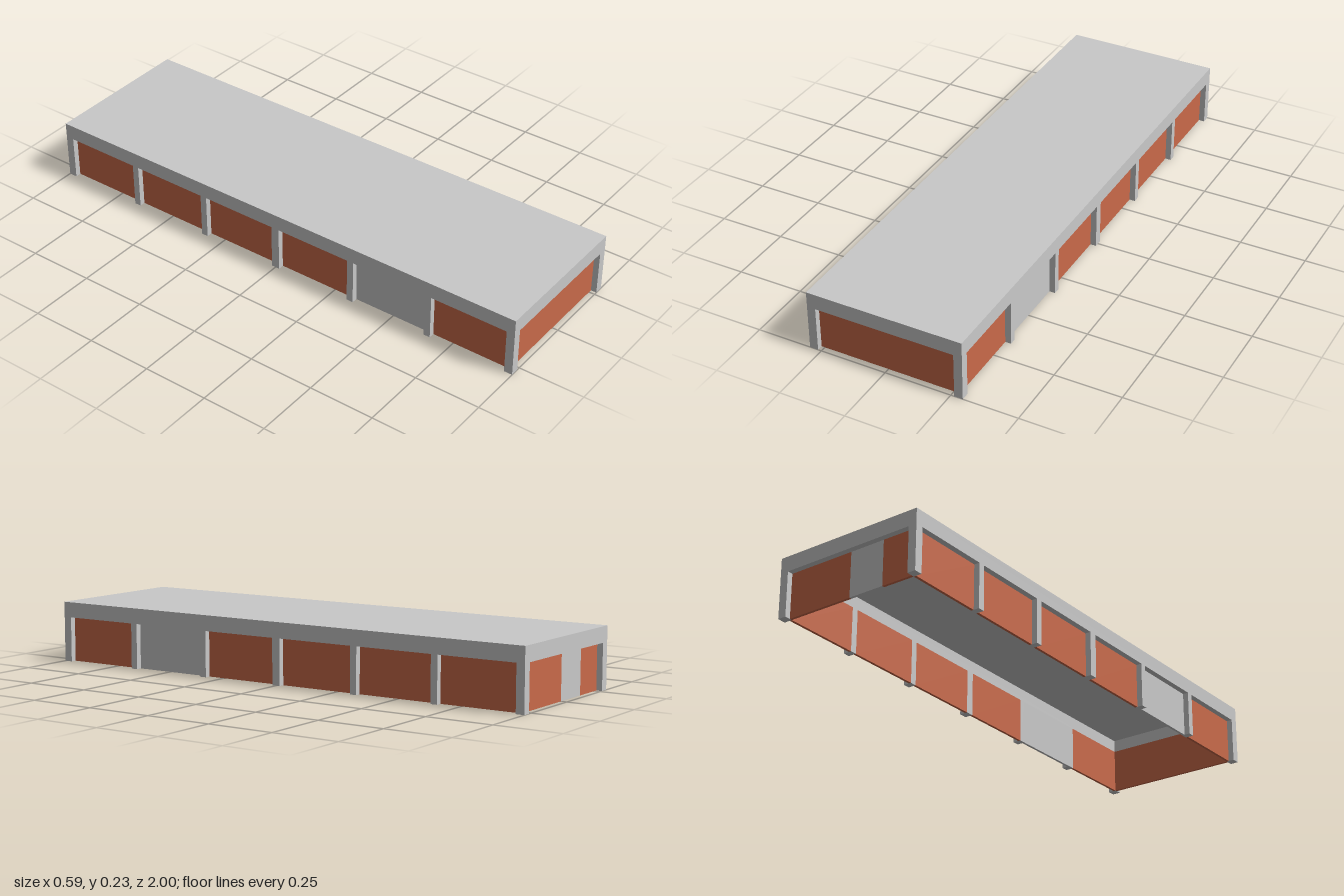
import * as THREE from 'three';

export function createModel() {
  const model = new THREE.Group();
  const concrete = new THREE.MeshStandardMaterial({ color: 0xc9c9c9 });
  concrete.name = 'pale concrete';
  const brick = new THREE.MeshStandardMaterial({ color: 0xc96a4a });
  brick.name = 'brick';

  const HX = 0.295, HZ = 1, H = 0.228; // half width, half length, height
  const T = 0.032;                     // frame thickness
  const OPEN = 0.17;                   // opening height
  const ROOF = 0.01, PANEL = 0.01;     // slab and wall panel thickness

  // Box given by its minimum and maximum corners
  function box(name, material, x0, x1, y0, y1, z0, z1) {
    const geometry = new THREE.BoxGeometry(x1 - x0, y1 - y0, z1 - z0);
    const mesh = new THREE.Mesh(geometry, material);
    mesh.position.set((x0 + x1) / 2, (y0 + y1) / 2, (z0 + z1) / 2);
    mesh.name = name;
    model.add(mesh);
  }

  // Roof slab
  box('roof', concrete, -HX, HX, H - ROOF, H, -HZ, HZ);

  // Ring beam under the roof, open in the middle
  const rectangle = (path, a, b) =>
    path.moveTo(-a, -b).lineTo(a, -b).lineTo(a, b).lineTo(-a, b).closePath();
  const ring = new THREE.Shape();
  rectangle(ring, HX, HZ);
  const hole = new THREE.Path();
  rectangle(hole, HX - T, HZ - T);
  ring.holes.push(hole);
  const beamGeometry = new THREE.ExtrudeGeometry(ring, {
    depth: H - ROOF - OPEN, bevelEnabled: false,
  });
  beamGeometry.rotateX(-Math.PI / 2);
  const beam = new THREE.Mesh(beamGeometry, concrete);
  beam.position.y = OPEN;
  beam.name = 'ringBeam';
  model.add(beam);

  // Long sides: six bays between seven posts, panels flush with the inside
  const bays = [
    [0.668, 0.968], [0.342, 0.642], [0.016, 0.316],
    [-0.316, -0.016], [-0.642, -0.342], [-0.968, -0.668],
  ];
  for (const side of [-1, 1]) {
    const label = side > 0 ? 'left' : 'right';
    const span = (a, b) => (side > 0 ? [a, b] : [-b, -a]);
    const [px0, px1] = span(HX - T, HX);
    const [wx0, wx1] = span(HX - T, HX - T + PANEL);
    let top = HZ;
    bays.forEach(([z0, z1], i) => {
      box(label + 'Post', concrete, px0, px1, 0, OPEN, z1, top);
      const isDoor = i === 1;
      box(label + (isDoor ? 'Door' : 'Wall'), isDoor ? concrete : brick,
        wx0, wx1, 0, OPEN, z0, z1);
      top = z0;
    });
    box(label + 'Post', concrete, px0, px1, 0, OPEN, -HZ, top);
  }

  // Front wall in one piece, back wall split by a door
  const w = HX - T, zi = HZ - T;
  box('frontWall', brick, -w, w, 0, OPEN, zi, zi + PANEL);
  box('backWallLeft', brick, 0, w, 0, OPEN, -zi - PANEL, -zi);
  box('backDoor', concrete, -0.14, 0, 0, OPEN, -zi - PANEL, -zi);
  box('backWallRight', brick, -w, -0.14, 0, OPEN, -zi - PANEL, -zi);

  return model;
}
